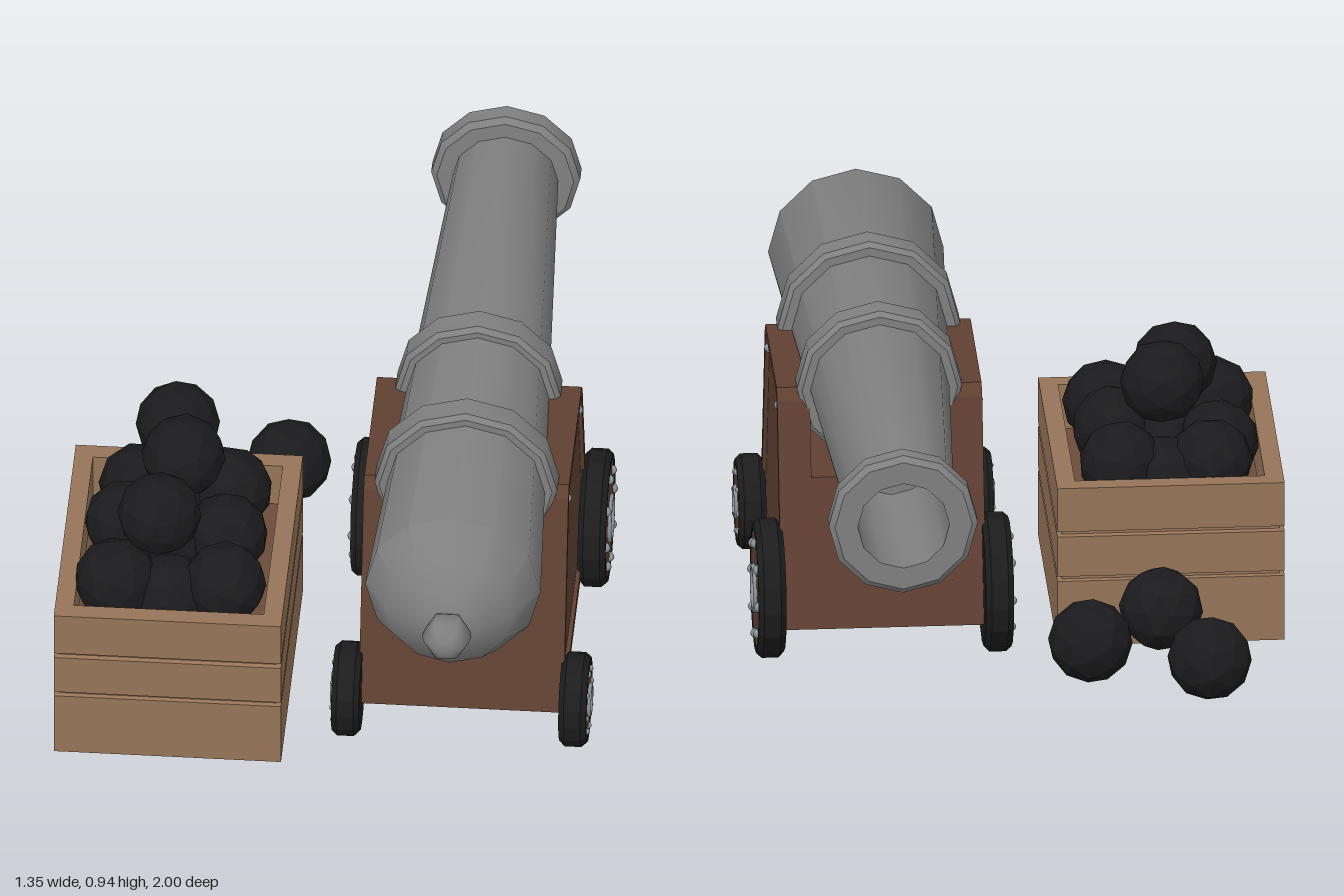
import * as THREE from 'three';
import { toCreasedNormals } from 'three/addons/utils/BufferGeometryUtils.js';

const mat = (color, extra = {}) => new THREE.MeshStandardMaterial({ color, ...extra });
const iron = mat(0x808080);
const steel = mat(0x8c9499);
const wood = mat(0x5f4031);
const rubber = mat(0x1c1c1c, { flatShading: true });
const shot = mat(0x1b1b1d, { flatShading: true });
const crateWood = mat(0x967458, { flatShading: true, side: THREE.DoubleSide });
const crateFloor = mat(0x6b4c3a);

const AXIS_X = 0.34, AXIS_Y = 0.715;

function add(parent, name, geometry, material, x = 0, y = 0, z = 0) {
  const mesh = new THREE.Mesh(geometry, material);
  mesh.name = name;
  mesh.position.set(x, y, z);
  parent.add(mesh);
  return mesh;
}

// Lathe around the z axis; profile points are [radius, z] with z rising along the outside
function latheZ(profile, sides) {
  const g = new THREE.LatheGeometry(profile.map(([r, z]) => new THREE.Vector2(r, z)), sides);
  return g.rotateX(Math.PI / 2);
}

// Extrude a [z, y] outline sideways along x
function extrudeX(points, depth, hole) {
  const v = pts => pts.map(([z, y]) => new THREE.Vector2(-z, y));
  const shape = new THREE.Shape(v(points));
  if (hole) shape.holes.push(new THREE.Path(v(hole)));
  return new THREE.ExtrudeGeometry(shape, { depth, bevelEnabled: false }).rotateY(Math.PI / 2);
}

function makeBarrel() {
  const barrel = new THREE.Group();
  barrel.name = 'barrel';
  barrel.position.set(AXIS_X, AXIS_Y, 0);
  const taper = z => 0.133 + (0.22 - 0.133) * (z + 0.93) / 1.67;
  // bore, muzzle lip, tapered tube and rounded breech
  const profile = [
    [0, -0.55], [0.11, -0.55], [0.115, -1], [0.172, -1], [0.187, -0.988], [0.187, -0.945], [0.172, -0.932],
    [taper(-0.93), -0.93], [0.22, 0.74], [0.16, 0.84], [0.07, 0.9], [0, 0.915],
  ];
  add(barrel, 'tube', toCreasedNormals(latheZ(profile, 12), 0.6), iron);
  // reinforcing bands
  for (const [z, r] of [[0.293, 0.229], [-0.093, 0.207]]) {
    const h = 0.043, b = 0.012;
    const band = [[r - 0.05, z - h], [r - b, z - h], [r, z - h + b], [r, z + h - b], [r - b, z + h], [r - 0.05, z + h]];
    add(barrel, 'band', toCreasedNormals(latheZ(band, 12), 0.6), iron);
  }
  add(barrel, 'breechKnob', new THREE.SphereGeometry(0.062, 6, 8).rotateX(Math.PI / 2), iron, 0, 0, 0.938);
  return barrel;
}

function makeCarriage() {
  const carriage = new THREE.Group();
  carriage.name = 'carriage';
  carriage.position.x = AXIS_X;
  const outline = [[0.483, 0.135], [-0.3, 0.135], [-0.13, 0.685], [-0.105, 0.712], [0.295, 0.712], [0.322, 0.685]];
  const inner = [[0.447, 0.16], [-0.267, 0.16], [-0.108, 0.678], [-0.095, 0.69], [0.285, 0.69], [0.299, 0.678]];
  const block = [[0.483, 0.135], [-0.3, 0.135], [-0.187, 0.5], [0.376, 0.5]];
  add(carriage, 'bed', extrudeX(block, 0.35), wood, -0.175);
  for (const s of [1, -1]) {
    add(carriage, 'cheek', extrudeX(outline, 0.071), wood, s > 0 ? 0.175 : -0.246);
    add(carriage, 'cheekRim', extrudeX(outline, 0.011, inner), wood, s > 0 ? 0.246 : -0.257);
    for (const [z, y] of [[0.277, 0.655], [-0.083, 0.655]]) {
      add(carriage, 'bolt', new THREE.SphereGeometry(0.012, 8, 6), steel, s * 0.25, y, z);
    }
  }
  return carriage;
}

// Wheel facing +z, inner face on z = 0
function makeWheel(name, r, ringRadius, boltRadius) {
  const wheel = new THREE.Group();
  wheel.name = name;
  const tire = [[0, 0], [r - 0.015, 0], [r, 0.014], [r, 0.056], [r - 0.012, 0.07], [r - 0.025, 0.07], [r - 0.025, 0.055]];
  add(wheel, 'tire', latheZ(tire, 16), rubber);
  const disc = new THREE.CylinderGeometry(r - 0.02, r - 0.02, 0.03, 16).rotateX(Math.PI / 2);
  add(wheel, 'wheelDisc', disc, wood, 0, 0, 0.053);
  add(wheel, 'hubRing', new THREE.TorusGeometry(ringRadius, 0.007, 6, 20), steel, 0, 0, 0.071);
  for (let i = 0; i < 8; i++) {
    const a = i * Math.PI / 4;
    add(wheel, 'wheelBolt', new THREE.SphereGeometry(r * 0.075, 8, 6), steel,
      Math.cos(a) * boltRadius, Math.sin(a) * boltRadius, 0.067);
  }
  return wheel;
}

function makeCrate() {
  const crate = new THREE.Group();
  crate.name = 'crate';
  crate.position.set(-0.39, 0, 0.215);
  const w = 0.285, d = 0.35;
  // wall section as [inset, y]: three boards split by grooves, then over the rim and down inside
  const section = [
    [0, 0], [0, 0.175], [0.012, 0.177], [0.012, 0.186], [0, 0.188],
    [0, 0.296], [0.012, 0.299], [0.012, 0.307], [0, 0.31],
    [0, 0.428], [0.047, 0.428], [0.047, 0.295],
  ];
  const pos = [], index = [];
  for (const [i, y] of section) {
    for (const [sx, sz] of [[1, 1], [1, -1], [-1, -1], [-1, 1]]) pos.push(sx * (w - i), y, sz * (d - i));
  }
  for (let k = 0; k < section.length - 1; k++) {
    for (let c = 0; c < 4; c++) {
      const a = k * 4 + c, b = k * 4 + (c + 1) % 4;
      index.push(a, b, b + 4, a, b + 4, a + 4);
    }
  }
  const g = new THREE.BufferGeometry();
  g.setAttribute('position', new THREE.Float32BufferAttribute(pos, 3));
  g.setIndex(index);
  g.computeVertexNormals();
  add(crate, 'crateWalls', g, crateWood);
  add(crate, 'crateFloor', new THREE.BoxGeometry(2 * w - 0.03, 0.012, 2 * d - 0.03), crateFloor, 0, 0.302, 0);
  return crate;
}

export function createModel() {
  const model = new THREE.Group();
  model.name = 'cannonWithCrate';
  model.add(makeBarrel(), makeCarriage(), makeCrate());

  for (const s of [1, -1]) {
    for (const [name, r, ring, bolts, y, z] of [
      ['rearWheel', 0.175, 0.056, 0.122, 0.215, -0.215],
      ['frontWheel', 0.12, 0.037, 0.08, 0.16, 0.457],
    ]) {
      const wheel = makeWheel(name, r, ring, bolts);
      wheel.position.set(AXIS_X + s * 0.25, y, z);
      wheel.rotation.y = s * Math.PI / 2;
      model.add(wheel);
    }
  }

  // cannonballs: piled in the crate, then three loose ones
  const ball = new THREE.IcosahedronGeometry(0.106, 1);
  const places = [
    [-0.5, 0.43, 0.015], [-0.385, 0.39, 0.01], [-0.275, 0.43, 0.015],
    [-0.525, 0.42, 0.155], [-0.27, 0.44, 0.215], [-0.4, 0.41, 0.21],
    [-0.53, 0.43, 0.405], [-0.395, 0.39, 0.405], [-0.26, 0.43, 0.4],
    [-0.385, 0.605, 0.115], [-0.43, 0.57, 0.31],
    [-0.455, 0.155, -0.595], [-0.165, 0.155, -0.465], [-0.355, 0.155, -0.275],
  ];
  places.forEach(([x, y, z], i) => {
    add(model, 'cannonball', ball, shot, x, y, z).rotation.set(i * 0.7, i * 1.1, 0);
  });
  return model;
}
